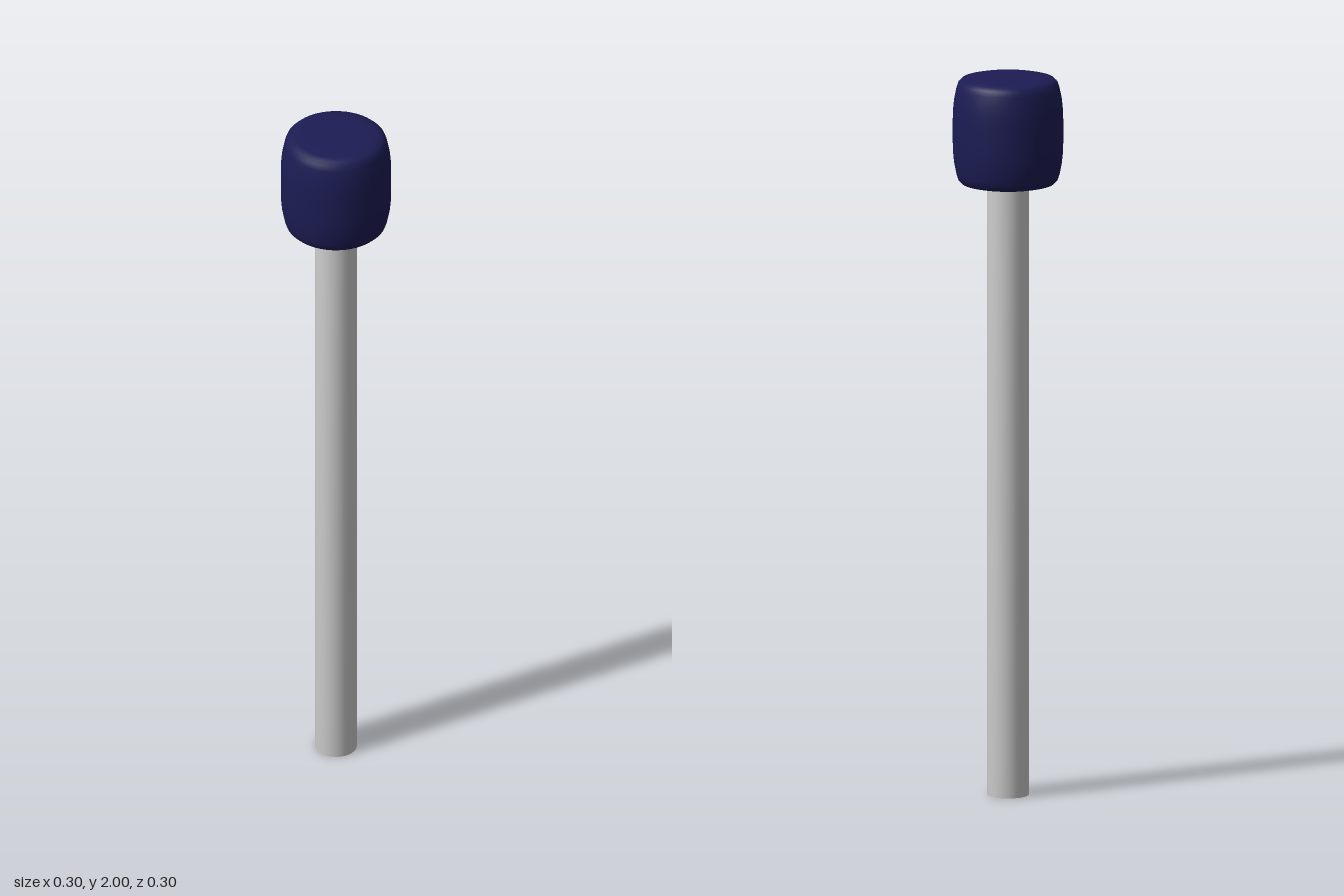
import * as THREE from 'three';

// Solid of revolution from [radius, height] pairs, listed bottom to top
function turned(name, profile, color, segments) {
  const points = profile.map(([r, y]) => new THREE.Vector2(r, y));
  const mesh = new THREE.Mesh(
    new THREE.LatheGeometry(points, segments),
    new THREE.MeshStandardMaterial({ color })
  );
  mesh.name = name;
  return mesh;
}

export function createModel() {
  const group = new THREE.Group();
  group.name = 'mallet';

  // Straight handle, its normals blended over the end caps
  const handleRadius = 0.057;
  group.add(turned('handle', [
    [0, 0], [handleRadius, 0], [handleRadius, 1.75], [0, 1.75],
  ], 0xcccccc, 32));

  // Soft barrel-shaped head, the same above and below its middle
  const middle = 1.85;
  const upper = [
    [0.151, 0.03], [0.15, 0.06], [0.147, 0.09], [0.141, 0.12],
    [0.136, 0.135], [0.127, 0.144], [0.11, 0.148], [0.08, 0.15], [0, 0.15],
  ];
  const lower = upper.map(([r, y]) => [r, -y]).reverse();
  const headProfile = [...lower, [0.151, 0], ...upper].map(([r, y]) => [r, middle + y]);
  group.add(turned('head', headProfile, 0x1c1c54, 48));

  return group;
}
